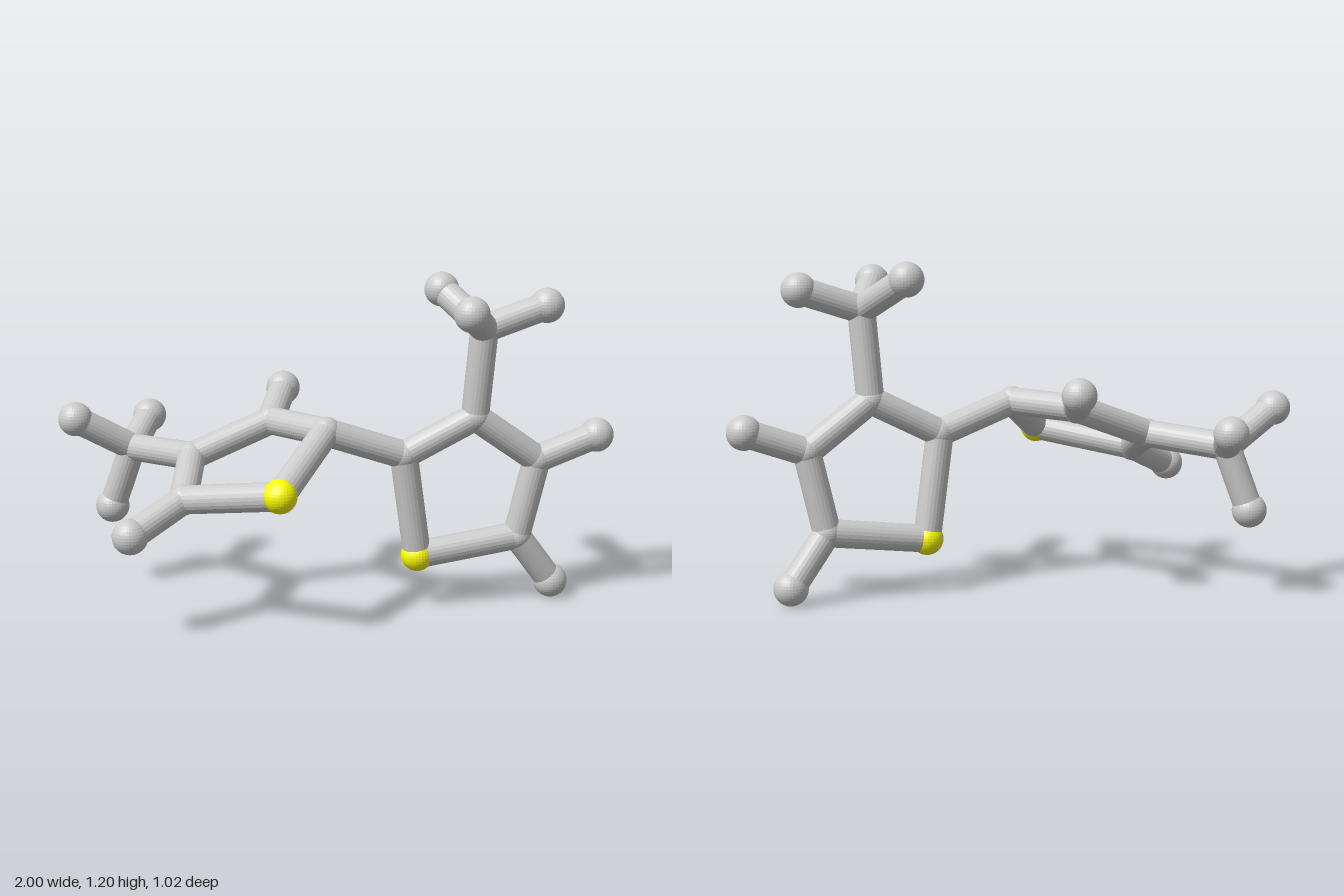
import * as THREE from 'three';

const V = (x, y, z) => new THREE.Vector3(x, y, z);

// Atom centres, named by element and place: A is the right-hand ring on +x, B the other one
const atoms = {
  sulfurA: V(0.285, 0.2, 0.06),
  carbonA2: V(0.23, 0.58, 0.09),
  carbonA3: V(0.485, 0.71, 0.07),
  carbonA4: V(0.72, 0.54, 0.025),
  carbonA5: V(0.655, 0.25, 0.01),
  hydrogenA4: V(0.94, 0.62, 0),
  hydrogenA5: V(0.79, 0.065, -0.025),
  carbonAMethyl: V(0.51, 1.03, 0.09),
  hydrogenAMethyl1: V(0.38, 1.145, -0.08),
  hydrogenAMethyl2: V(0.435, 1.115, 0.295),
  hydrogenAMethyl3: V(0.735, 1.105, 0.062),

  sulfurB: V(-0.225, 0.535, 0.45),
  carbonB2: V(-0.05, 0.68, 0.14),
  carbonB3: V(-0.235, 0.675, -0.078),
  carbonB4: V(-0.52, 0.565, -0.01),
  carbonB5: V(-0.55, 0.475, 0.25),
  hydrogenB3: V(-0.18, 0.75, -0.295),
  hydrogenB5: V(-0.73, 0.383, 0.373),
  carbonBMethyl: V(-0.74, 0.545, -0.245),
  hydrogenBMethyl1: V(-0.68, 0.62, -0.445),
  hydrogenBMethyl2: V(-0.94, 0.668, -0.18),
  hydrogenBMethyl3: V(-0.82, 0.315, -0.272),
};

// Pairs of atoms joined by a bond; each ring repeats the same pattern
const bonds = [['carbonA2', 'carbonB2']];
for (const r of ['A', 'B']) {
  const ring = [`sulfur${r}`, `carbon${r}2`, `carbon${r}3`, `carbon${r}4`, `carbon${r}5`];
  ring.forEach((name, i) => bonds.push([name, ring[(i + 1) % 5]]));
  for (let i = 1; i <= 3; i++) bonds.push([`carbon${r}Methyl`, `hydrogen${r}Methyl${i}`]);
  bonds.push([`carbon${r}5`, `hydrogen${r}5`]);
}
bonds.push(['carbonA4', 'hydrogenA4'], ['carbonB3', 'hydrogenB3']);
bonds.push(['carbonA3', 'carbonAMethyl'], ['carbonB4', 'carbonBMethyl']);

const radii = { sulfur: 0.059, carbon: 0.054, hydrogen: 0.062 };

export function createModel() {
  const model = new THREE.Group();
  model.name = 'molecule';
  const grey = new THREE.MeshStandardMaterial({ color: 0xcccccc, flatShading: true });
  const yellow = new THREE.MeshStandardMaterial({ color: 0xffff00, flatShading: true });

  // Atom balls
  for (const [name, position] of Object.entries(atoms)) {
    const element = name.match(/^[a-z]+/)[0];
    const ball = new THREE.Mesh(
      new THREE.SphereGeometry(radii[element], 32, 18),
      element === 'sulfur' ? yellow : grey,
    );
    ball.position.copy(position);
    ball.name = name;
    model.add(ball);
  }

  // Bond rods, each turned to run from one atom centre to the next
  for (const [from, to] of bonds) {
    const a = atoms[from], b = atoms[to];
    const along = b.clone().sub(a);
    const rod = new THREE.Mesh(new THREE.CylinderGeometry(0.05, 0.05, along.length(), 24, 1, true), grey);
    rod.position.copy(a).lerp(b, 0.5);
    rod.quaternion.setFromUnitVectors(V(0, 1, 0), along.normalize());
    rod.name = `bond ${from} to ${to}`;
    model.add(rod);
  }

  return model;
}
